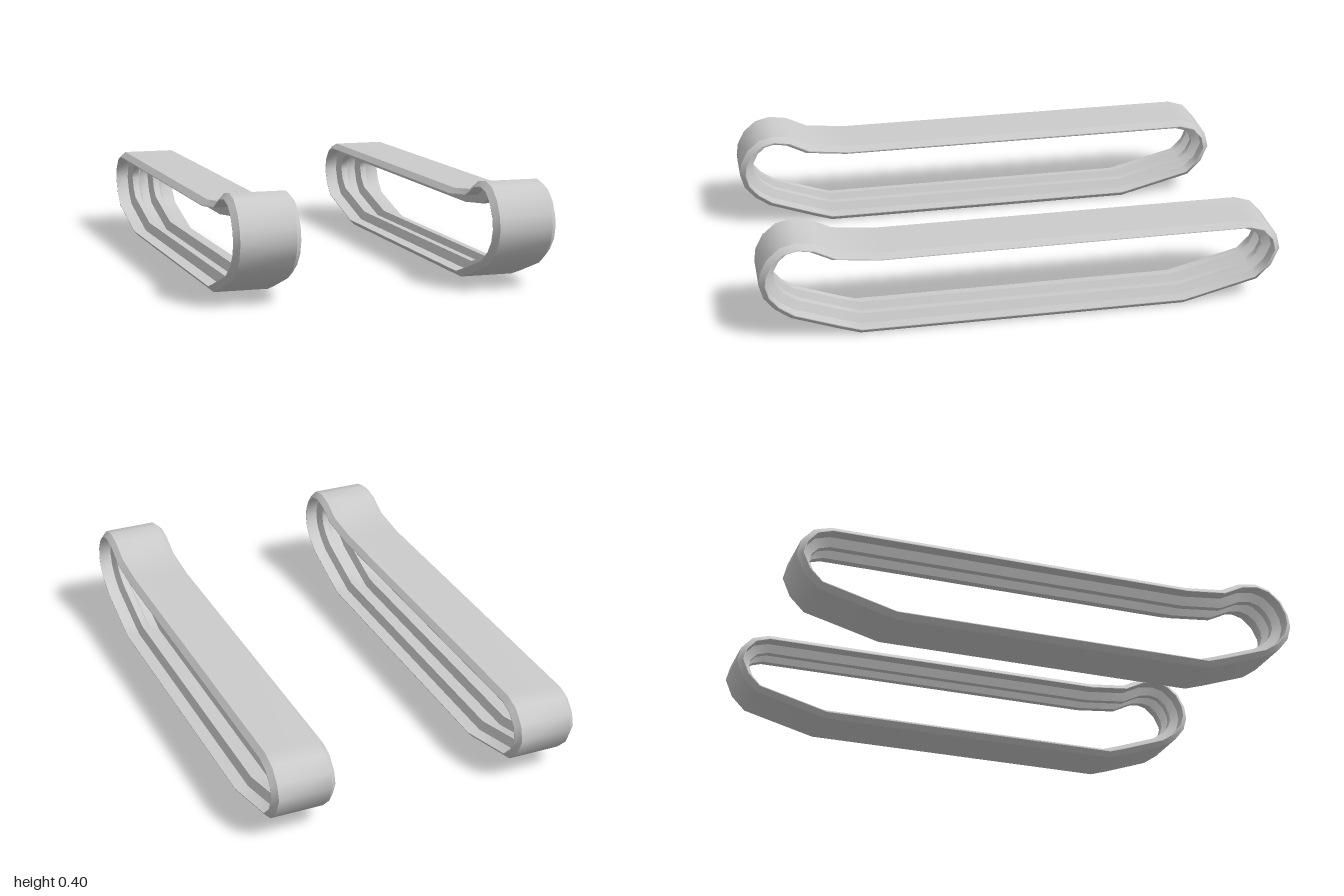
import * as THREE from 'three';

// Outer outline of a belt as [z, y]: along the ground, around the back, along the top, around the raised front
const OUTLINE = [
  [0.63, 0], [-0.62, 0], [-0.91, 0.075], [-0.965, 0.13], [-0.995, 0.2], [-0.98, 0.26],
  [-0.935, 0.31], [-0.87, 0.33], [0.55, 0.33], [0.705, 0.347], [0.785, 0.387], [0.855, 0.398],
  [0.915, 0.383], [0.965, 0.34], [0.993, 0.285], [1, 0.235], [0.985, 0.18], [0.945, 0.13],
  [0.885, 0.088], [0.705, 0.024],
];

// Belt cross-section as [x, depth inward]: bevelled tread with two guide ridges inside
const HALF = [[0.103, 0], [0.123, 0.02], [0.123, 0.023], [0.073, 0.023], [0.058, 0.056], [0.032, 0.056], [0.017, 0.023]];
const SECTION = [...HALF, ...HALF.map(([x, d]) => [-x, d]).reverse()];

// Mitred inward direction at each outline point
function inwardNormals(path) {
  const n = path.length;
  const edge = path.map((p, i) => {
    const q = path[(i + 1) % n];
    return new THREE.Vector2(q[1] - p[1], p[0] - q[0]).normalize();
  });
  return edge.map((e, i) => {
    const prev = edge[(i + n - 1) % n];
    return e.clone().add(prev).divideScalar(1 + e.dot(prev));
  });
}

// Sweep the section round the closed outline; each strip is smooth along its length and sharp at its sides
function beltGeometry() {
  const n = OUTLINE.length, m = SECTION.length;
  const inward = inwardNormals(OUTLINE);
  const positions = [], index = [];
  for (let j = 0; j < m; j++) {
    const base = positions.length / 3;
    const pair = [SECTION[(j + m - 1) % m], SECTION[j]];
    OUTLINE.forEach(([z, y], i) => {
      for (const [x, d] of pair) positions.push(x, y + inward[i].y * d, z + inward[i].x * d);
    });
    for (let i = 0; i < n; i++) {
      const a = base + 2 * i, b = base + 2 * ((i + 1) % n);
      index.push(a, b, a + 1, b, b + 1, a + 1);
    }
  }
  const geometry = new THREE.BufferGeometry();
  geometry.setAttribute('position', new THREE.Float32BufferAttribute(positions, 3));
  geometry.setIndex(index);
  geometry.computeVertexNormals();
  return geometry;
}

export function createModel() {
  const group = new THREE.Group();
  group.name = 'trackBelts';
  const material = new THREE.MeshStandardMaterial({ color: 0xcccccc });
  const geometry = beltGeometry();
  // One belt on each side
  for (const [name, side] of [['leftTrackBelt', 1], ['rightTrackBelt', -1]]) {
    const belt = new THREE.Mesh(geometry, material);
    belt.name = name;
    belt.position.x = side * 0.485;
    group.add(belt);
  }
  return group;
}
